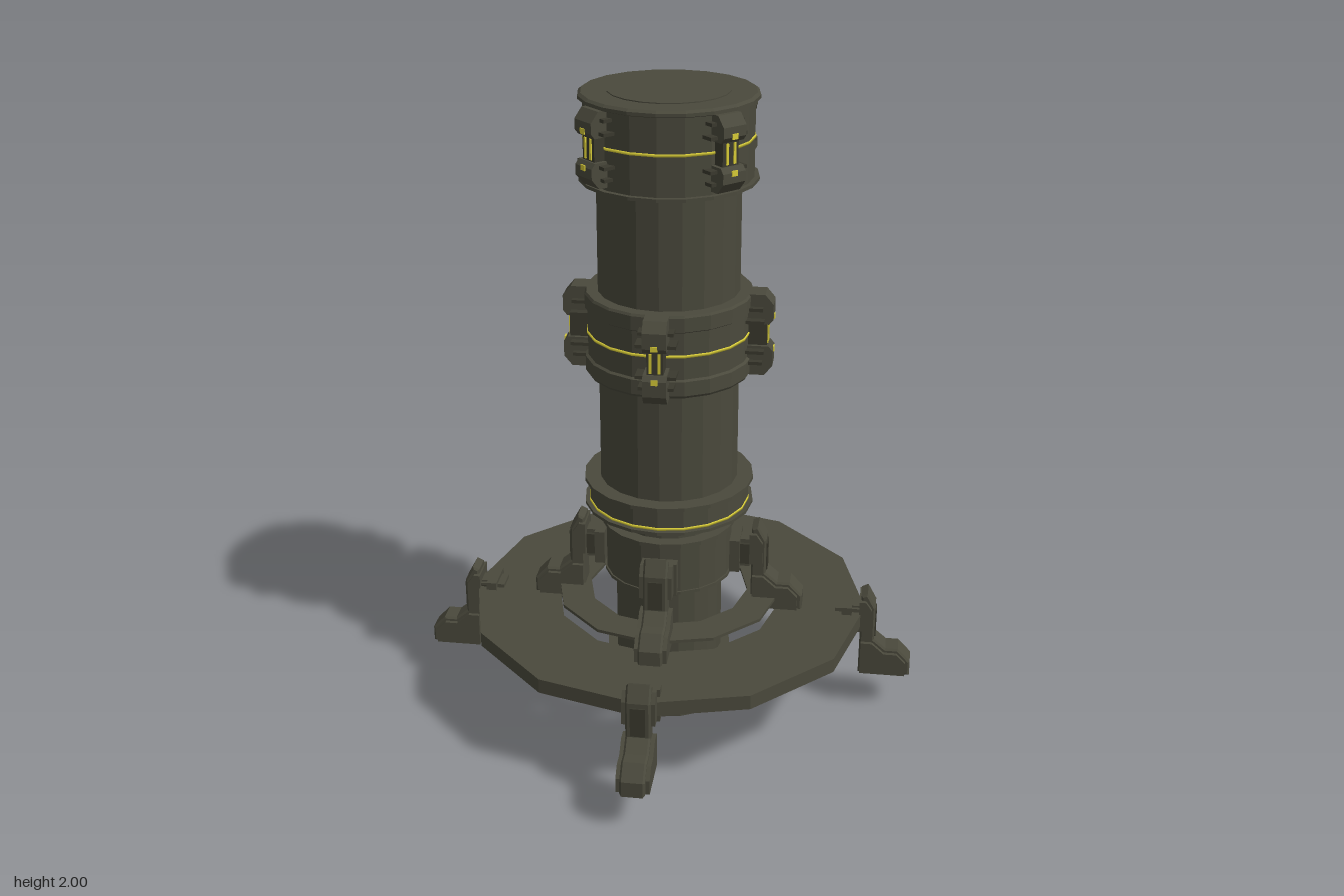
import * as THREE from 'three';

const olive = new THREE.MeshStandardMaterial({ color: 0x4a493c });
olive.name = 'olive metal';
const dark = new THREE.MeshStandardMaterial({ color: 0x3a392e });
dark.name = 'dark metal';
const yellow = new THREE.MeshStandardMaterial({ color: 0xd8cc38 });
yellow.name = 'yellow light';
olive.flatShading = dark.flatShading = true;

const SIDES = 20;

function add(parent, name, geometry, material, x = 0, y = 0, z = 0) {
  const mesh = new THREE.Mesh(geometry, material);
  mesh.name = name;
  mesh.position.set(x, y, z);
  parent.add(mesh);
  return mesh;
}

// box given by its ranges in x and y and its full width in z
function block(parent, name, x0, x1, y0, y1, width, material = olive, z = 0) {
  return add(parent, name, new THREE.BoxGeometry(x1 - x0, y1 - y0, width), material,
    (x0 + x1) / 2, (y0 + y1) / 2, z);
}

// side profile in x and y, extruded evenly about z = 0
function slab(parent, name, points, width, material = olive, bevel = 0) {
  const shape = new THREE.Shape(points.map(p => new THREE.Vector2(...p)));
  const geometry = new THREE.ExtrudeGeometry(shape, {
    depth: width - 2 * bevel, bevelEnabled: bevel > 0, bevelSize: bevel,
    bevelOffset: -bevel, bevelThickness: bevel, bevelSegments: 1 });
  geometry.translate(0, 0, -width / 2 + bevel);
  return add(parent, name, geometry, material);
}

// solid or hollow turned part from a list of [radius, height]
function turned(parent, name, profile, material = olive, sides = SIDES) {
  const points = profile.map(p => new THREE.Vector2(...p));
  return add(parent, name, new THREE.LatheGeometry(points, sides), material);
}

function drum(parent, name, r, y0, y1, material = olive) {
  return turned(parent, name, [[0, y0], [r, y0], [r, y1], [0, y1]], material);
}

function plateRing(parent, name, inner, outer, y0, y1, material) {
  return turned(parent, name,
    [[inner, y0], [outer, y0], [outer, y1], [inner, y1], [inner, y0]], material, 12);
}

// four copies around the axis, beginning at the given angle
function around(parent, name, start, build) {
  for (let i = 0; i < 4; i++) {
    const g = new THREE.Group();
    g.name = name;
    g.rotation.y = start + i * Math.PI / 2;
    build(g);
    parent.add(g);
  }
}

// splayed leg with a chunky foot; origin at its inner bottom corner
function leg(parent, x, y) {
  const g = new THREE.Group();
  g.name = 'leg';
  g.position.set(x, y, 0);
  parent.add(g);
  slab(g, 'legCore', [[0, 0], [0.165, 0], [0.165, 0.05], [0.125, 0.093], [0.085, 0.093],
    [0.047, 0.125], [0.047, 0.24], [0.02, 0.29], [0, 0.28]], 0.075, olive, 0.006);
  slab(g, 'footCheeks', [[0.005, 0.004], [0.15, 0.004], [0.15, 0.05], [0.12, 0.08],
    [0.08, 0.08], [0.04, 0.115], [0.005, 0.115]], 0.1);
  slab(g, 'kneeCheeks', [[-0.005, 0.16], [0.036, 0.16], [0.036, 0.235], [0.016, 0.265],
    [-0.005, 0.265]], 0.1);
  block(g, 'shinPanel', 0.046, 0.051, 0.13, 0.225, 0.045, dark);
}

// stepped mount between a leg and the part that carries it
function mount(g, x, y) {
  block(g, 'mountPlate', x - 0.05, x - 0.018, y - 0.055, y + 0.055, 0.11);
  block(g, 'mountPin', x - 0.025, x + 0.012, y - 0.035, y + 0.035, 0.07, dark);
  for (const s of [-1, 1])
    block(g, 'mountLug', x - 0.04, x + 0.012, y + s * 0.038 - 0.01, y + s * 0.038 + 0.01, 0.05);
}

// clamp: two chamfered jaws bridged by a recessed spine with lights and fins
function clamp(g, r, y, half, depth, width) {
  const out = r + depth;
  for (const s of [-1, 1]) {
    const at = t => y + s * t;
    const pts = [[r - 0.03, at(0.035)], [out - 0.012, at(0.035)], [out, at(0.05)],
      [out, at(half - 0.03)], [out - 0.025, at(half)], [r - 0.03, at(half)]];
    slab(g, 'clampJaw', s > 0 ? pts : pts.reverse(), width);
    block(g, 'clampFin', r - 0.02, out - 0.025, at(0.048) - 0.005, at(0.048) + 0.005, width + 0.05, dark);
    block(g, 'clampFin', r - 0.02, out - 0.03, at(0.085) - 0.005, at(0.085) + 0.005, width + 0.035, dark);
    block(g, 'clampLight', out - 0.001, out + 0.003, at(0.052) - 0.008, at(0.052) + 0.008, 0.02, yellow);
  }
  block(g, 'clampSpine', r - 0.03, out - 0.018, y - 0.05, y + 0.05, width * 0.7, dark);
  for (const z of [-0.013, 0.013])
    block(g, 'clampLight', out - 0.02, out - 0.014, y - 0.03, y + 0.03, 0.008, yellow, z);
}

export function createModel() {
  const model = new THREE.Group();
  model.name = 'column';

  // lower column
  drum(model, 'base', 0.2, 0, 0.17);
  drum(model, 'lowerShaft', 0.17, 0.16, 0.72);
  turned(model, 'lowerCollar', [[0.165, 0.455], [0.205, 0.455], [0.205, 0.465], [0.2, 0.465],
    [0.2, 0.622], [0.21, 0.622], [0.21, 0.635], [0.165, 0.635]]);

  // main tube with its flanged rings
  drum(model, 'mainTube', 0.215, 0.7, 1.8);
  turned(model, 'lowerRing', [[0.16, 0.695], [0.265, 0.695], [0.265, 0.705], [0.25, 0.705],
    [0.25, 0.775], [0.265, 0.775], [0.265, 0.787], [0.21, 0.787]]);
  turned(model, 'middleBand', [[0.21, 1.142], [0.25, 1.142], [0.255, 1.15], [0.255, 1.195],
    [0.247, 1.2], [0.247, 1.345], [0.255, 1.35], [0.255, 1.393], [0.25, 1.4], [0.21, 1.4]]);
  turned(model, 'head', [[0.21, 1.74], [0.265, 1.74], [0.265, 1.75], [0.25, 1.75], [0.25, 1.975],
    [0.264, 1.98], [0.264, 1.99], [0.255, 1.997], [0, 1.997]]);
  drum(model, 'headCap', 0.18, 1.99, 2);

  // glowing seams
  for (const [r, y] of [[0.2505, 0.71], [0.248, 1.272], [0.2505, 1.87]])
    turned(model, 'lightSeam', [[r - 0.01, y - 0.004], [r + 0.002, y - 0.004],
      [r + 0.002, y + 0.004], [r - 0.01, y + 0.004]], yellow);

  // clamps on the middle band and the head
  around(model, 'middleClamp', 0, g => clamp(g, 0.245, 1.272, 0.128, 0.073, 0.07));
  around(model, 'headClamp', Math.PI / 4, g => clamp(g, 0.245, 1.87, 0.11, 0.055, 0.08));

  // twelve-sided stand plate and the thin guard ring above its opening
  plateRing(model, 'standPlate', 0.36, 0.635, 0.293, 0.34, olive);
  plateRing(model, 'guardRing', 0.255, 0.36, 0.37, 0.38, olive);

  // inner legs from the collar to the plate
  around(model, 'innerLeg', 0, g => {
    leg(g, 0.268, 0.337);
    mount(g, 0.25, 0.525);
  });

  // outer legs on the rim of the plate
  around(model, 'outerLeg', 0, g => {
    leg(g, 0.622, 0.12);
    mount(g, 0.612, 0.31);
    block(g, 'rimGrip', 0.54, 0.625, 0.275, 0.352, 0.07);
  });
  return model;
}
